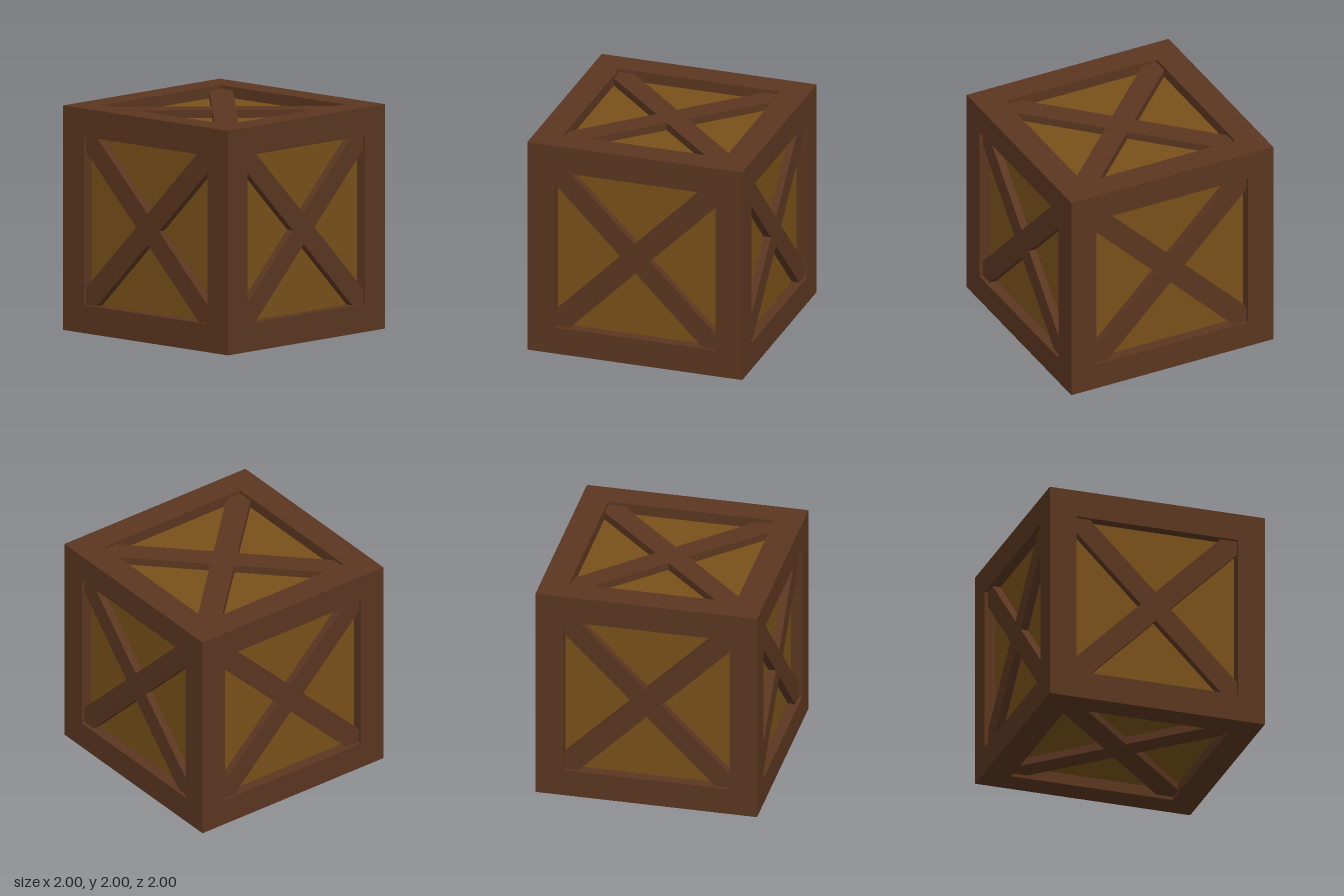
import * as THREE from 'three';

const HALF = 1;        // half the crate's edge
const OPEN = 0.75;     // half the opening in each side
const PANEL = 0.9;     // distance of the panels from the centre
const BRACE = 0.97;    // distance of the brace faces from the centre

// X-shaped outline filling the opening: one bar spans |u+v| <= a, the other b0 <= v-u <= b1
function crossShape(a, b0, b1) {
  const h = OPEN;
  return new THREE.Shape([
    [h, h], [h - b1, h], [(a - b1) / 2, (a + b1) / 2], [a - h, h],
    [-h, h], [-h, h - a], [(-a - b1) / 2, (b1 - a) / 2], [-h, b1 - h],
    [-h, -h], [-h - b0, -h], [(-a - b0) / 2, (b0 - a) / 2], [h - a, -h],
    [h, -h], [h, a - h], [(a - b0) / 2, (a + b0) / 2], [h, h + b0],
  ].map(([u, v]) => new THREE.Vector2(u, v)));
}

export function createModel() {
  const crate = new THREE.Group();
  crate.name = 'crate';
  const darkWood = new THREE.MeshStandardMaterial({ color: 0x5a3620, flatShading: true });
  const lightWood = new THREE.MeshStandardMaterial({ color: 0x785019, flatShading: true });

  const body = new THREE.Group();
  body.name = 'crateBody';
  body.position.y = HALF;
  crate.add(body);

  const add = (name, geometry, material) => {
    const mesh = new THREE.Mesh(geometry, material);
    mesh.name = name;
    body.add(mesh);
    return mesh;
  };

  // Recessed panels, as one inner box
  add('panels', new THREE.BoxGeometry(2 * PANEL, 2 * PANEL, 2 * PANEL), lightWood);

  // Frame: four full-height posts, and rails fitted between them
  const t = HALF - OPEN, c = HALF - t / 2;
  const post = new THREE.BoxGeometry(t, 2 * HALF, t);
  const railX = new THREE.BoxGeometry(2 * OPEN, t, t);
  const railZ = new THREE.BoxGeometry(t, t, 2 * OPEN);
  for (const i of [-1, 1]) {
    for (const j of [-1, 1]) {
      add('cornerPost', post, darkWood).position.set(i * c, 0, j * c);
      add('crossRail', railX, darkWood).position.set(0, i * c, j * c);
      add('sideRail', railZ, darkWood).position.set(i * c, j * c, 0);
    }
  }

  // Crossed braces, set slightly back from the frame on all six sides
  const extrude = (shape) => new THREE.ExtrudeGeometry(shape, { depth: BRACE - PANEL, bevelEnabled: false })
    .translate(0, 0, PANEL);
  const sideCross = extrude(crossShape(0.135, -0.13, 0.15));
  const endCross = extrude(crossShape(0.145, -0.15, 0.15));
  ['frontBrace', 'leftBrace', 'backBrace', 'rightBrace'].forEach((name, k) => {
    add(name, sideCross, darkWood).rotation.y = k * Math.PI / 2;
  });
  add('topBrace', endCross, darkWood).rotation.x = -Math.PI / 2;
  add('bottomBrace', endCross, darkWood).rotation.x = Math.PI / 2;

  return crate;
}
